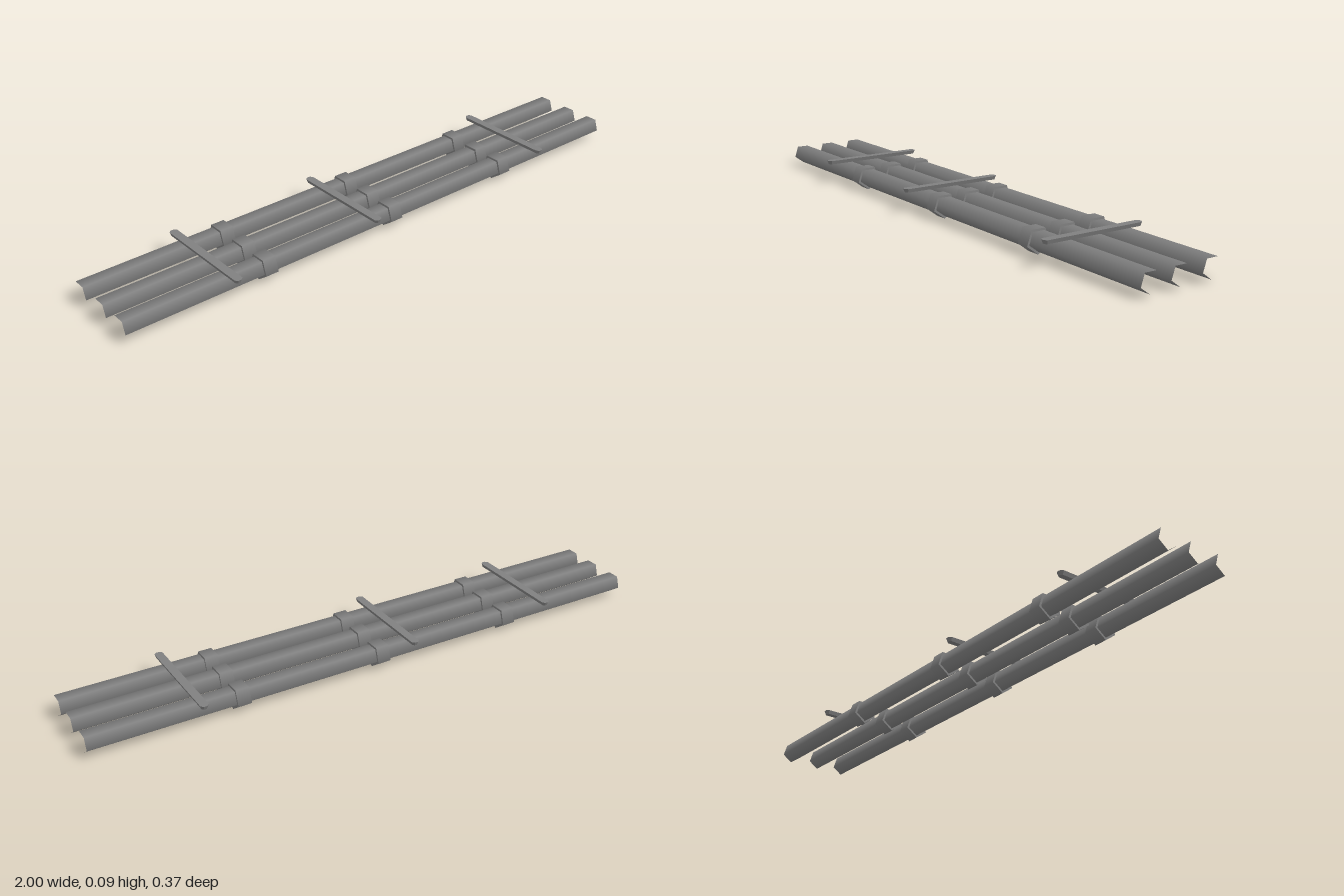
import * as THREE from 'three';
import { mergeGeometries } from 'three/addons/utils/BufferGeometryUtils.js';

const SIDES = 5, PIPE_R = 0.035, COLLAR_R = 0.0437, AXIS_Y = 0.0442;
const START = -Math.PI / 2; // one corner points straight down

// open five-sided tube lying along x
function tube(radius, length) {
  const g = new THREE.CylinderGeometry(radius, radius, length, SIDES, 1, true, START);
  return g.rotateZ(Math.PI / 2);
}

// tube with a flat ring at both ends
function collarGeometry(length) {
  const parts = [tube(COLLAR_R, length)];
  for (const s of [-1, 1]) {
    const ring = new THREE.RingGeometry(PIPE_R, COLLAR_R, SIDES, 1, START);
    parts.push(ring.rotateY(s * Math.PI / 2).translate(s * length / 2, 0, 0));
  }
  return mergeGeometries(parts);
}

// long strap with rounded ends, narrower underneath
function barGeometry(halfLength) {
  const r = 0.015;
  const g = new THREE.CylinderGeometry(r, 0.010, 0.013, 8, 1, false, Math.PI / 8);
  const p = g.attributes.position;
  for (let i = 0; i < p.count; i++) {
    const z = p.getZ(i);
    if (Math.abs(z) > 1e-6) p.setZ(i, z + Math.sign(z) * (halfLength - r));
  }
  return g;
}

export function createModel() {
  const group = new THREE.Group();
  const grey = new THREE.MeshStandardMaterial({ color: 0x808080 });
  const greyFlat = new THREE.MeshStandardMaterial({ color: 0x808080, flatShading: true });

  const add = (name, geometry, material, x, y, z) => {
    const mesh = new THREE.Mesh(geometry, material);
    mesh.name = name;
    mesh.position.set(x, y, z);
    group.add(mesh);
  };

  // three parallel pipes, each with three collars
  const pipe = tube(PIPE_R, 2);
  const collar = collarGeometry(0.046);
  for (const z of [0.108, -0.001, -0.117]) {
    add('pipe', pipe, grey, 0, AXIS_Y, z);
    for (const x of [-0.5, 0, 0.5]) add('collar', collar, grey, x, AXIS_Y, z);
  }

  // crossbars resting on the pipes
  const bar = barGeometry(0.186);
  for (const x of [-0.64, -0.105, 0.64]) add('crossbar', bar, greyFlat, x, 0.0795, 0);

  return group;
}
